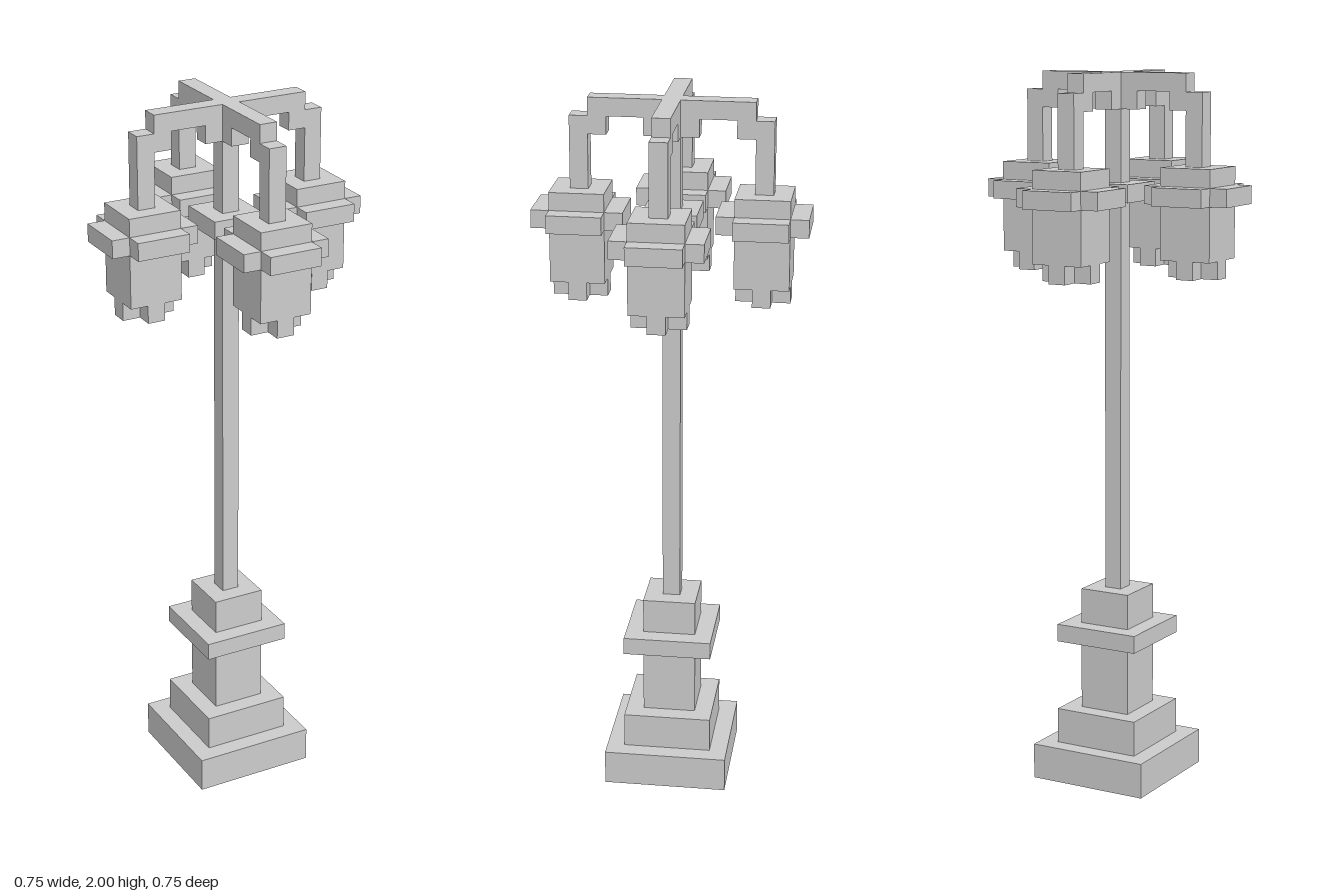
import * as THREE from 'three';

const material = new THREE.MeshStandardMaterial({ color: 0xcccccc, flatShading: true });

// Box given by its centre x, width, bottom and top height, and depth
function block(name, x, width, y0, y1, depth = width) {
  const mesh = new THREE.Mesh(new THREE.BoxGeometry(width, y1 - y0, depth), material);
  mesh.name = name;
  mesh.position.set(x, (y0 + y1) / 2, 0);
  return mesh;
}

// Flat square plate with its four corners cut out
function notchedPlate(name, x, half, inner, y0, y1) {
  const a = half, b = inner;
  const outline = [[a, -b], [a, b], [b, b], [b, a], [-b, a], [-b, b],
    [-a, b], [-a, -b], [-b, -b], [-b, -a], [b, -a], [b, -b]];
  const shape = new THREE.Shape(outline.map(([u, v]) => new THREE.Vector2(u, v)));
  const geometry = new THREE.ExtrudeGeometry(shape, { depth: y1 - y0, bevelEnabled: false });
  geometry.rotateX(-Math.PI / 2);
  const mesh = new THREE.Mesh(geometry, material);
  mesh.name = name;
  mesh.position.set(x, y0, 0);
  return mesh;
}

// One curved bracket reaching out along +x with its hanging lantern
function createLampArm() {
  const arm = new THREE.Group();
  arm.name = 'lampArm';
  arm.add(
    block('armBeam', 0.125, 0.2, 1.95, 2, 0.05),
    block('innerBrace', 0.05, 0.05, 1.9, 1.95),
    block('outerBrace', 0.2, 0.05, 1.9, 1.95),
    block('hanger', 0.25, 0.05, 1.75, 1.95),
    block('lanternCap', 0.25, 0.15, 1.7, 1.75),
    notchedPlate('lanternBrim', 0.25, 0.125, 0.075, 1.65, 1.7),
    block('lanternBody', 0.25, 0.15, 1.5, 1.65),
    notchedPlate('lanternFoot', 0.25, 0.075, 0.025, 1.45, 1.5)
  );
  return arm;
}

export function createModel() {
  const model = new THREE.Group();
  model.name = 'streetLamp';

  // Stepped pedestal
  model.add(
    block('baseSlab', 0, 0.35, 0, 0.1),
    block('baseStep', 0, 0.25, 0.1, 0.2),
    block('pedestal', 0, 0.15, 0.2, 0.4),
    block('pedestalLedge', 0, 0.25, 0.4, 0.45),
    block('poleSocket', 0, 0.15, 0.45, 0.55)
  );

  // Pole and its collar
  model.add(block('pole', 0, 0.05, 0.55, 2), block('poleCollar', 0, 0.15, 1.65, 1.7));

  // Four lantern arms
  for (let i = 0; i < 4; i++) {
    const arm = createLampArm();
    arm.rotation.y = (i * Math.PI) / 2;
    model.add(arm);
  }
  return model;
}
